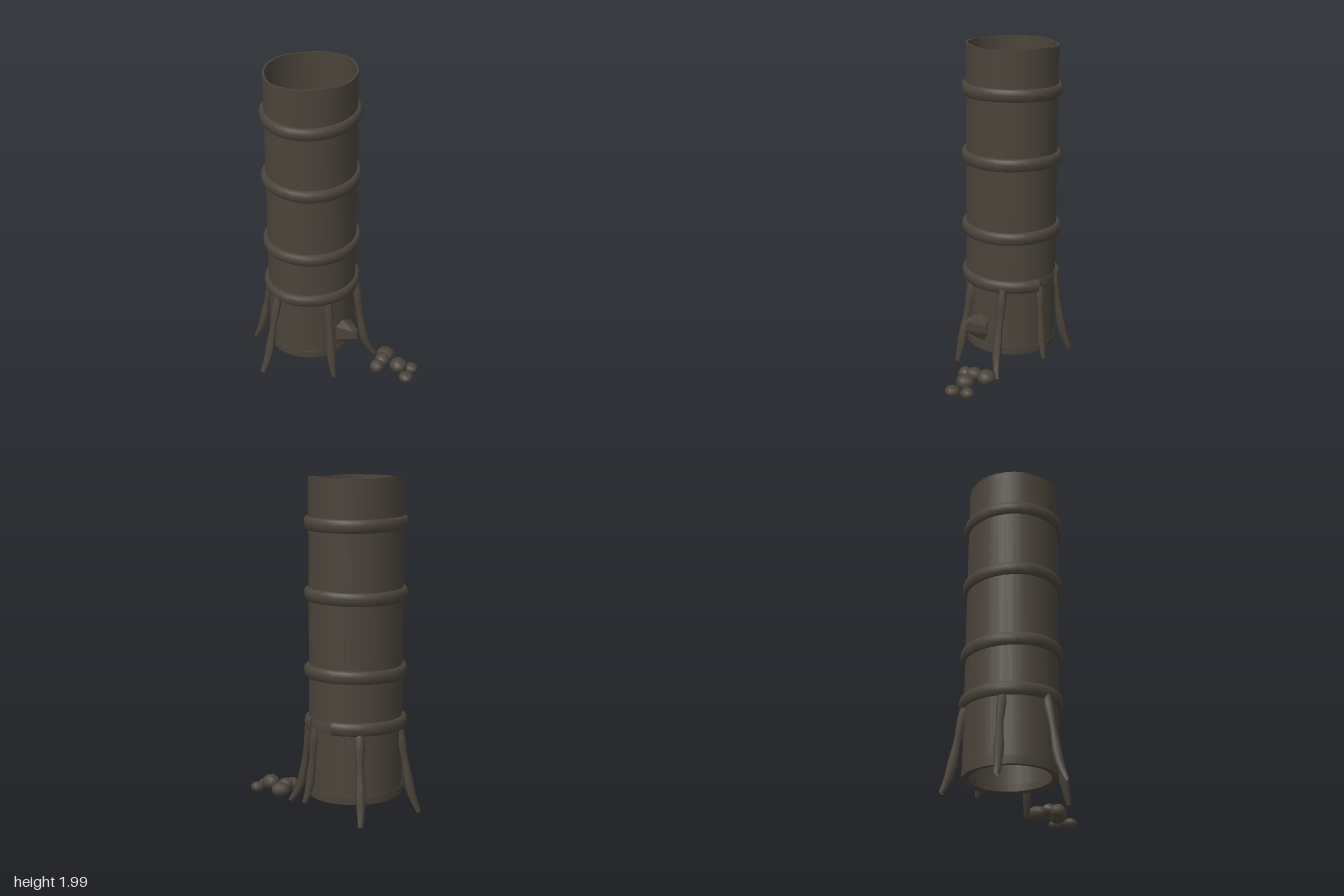
import * as THREE from 'three';
import { toCreasedNormals } from 'three/addons/utils/BufferGeometryUtils.js';
import { ConvexGeometry } from 'three/addons/geometries/ConvexGeometry.js';

const CX = 0.045, CZ = -0.195;

export function createModel() {
  const model = new THREE.Group();
  const bark = new THREE.MeshStandardMaterial({ color: 0x4a433a, side: THREE.DoubleSide });
  bark.name = 'dark brown';

  const add = (name, geometry, parent = model) => {
    const mesh = new THREE.Mesh(geometry, bark);
    mesh.name = name;
    parent.add(mesh);
    return mesh;
  };
  const lathe = (pts, start = 0, length = Math.PI * 2, segments = 32) =>
    new THREE.LatheGeometry(pts.map(p => new THREE.Vector2(...p)), segments, start, length);

  // Slightly oval chimney body, open at both ends
  const tower = new THREE.Group();
  tower.name = 'tower';
  tower.position.set(CX, 0, CZ);
  tower.scale.z = 0.94;
  model.add(tower);

  const wall = lathe([[0.272, 0.13], [0.284, 0.12], [0.284, 1.994], [0.272, 1.994], [0.272, 0.13]]);
  const wp = wall.attributes.position;
  for (let i = 0; i < wp.count; i++) {
    // Uneven top rim
    if (wp.getY(i) > 1.9) {
      const a = Math.atan2(wp.getZ(i), wp.getX(i));
      wp.setY(i, 1.993 + 0.005 * Math.sin(3 * a + 1) + 0.002 * Math.sin(7 * a));
    }
  }
  add('wall', toCreasedNormals(wall, 0.6), tower);

  // Lip around the lower opening
  const lip = [[0.245, 0.125], [0.245, 0.165], [0.27, 0.175], [0.287, 0.17], [0.287, 0.165], [0.284, 0.12], [0.245, 0.125]];
  add('bottomLip', toCreasedNormals(lathe(lip), 0.6), tower);

  // Rounded, slightly irregular hoops; the lowest one is broken on one side
  const section = [[0.275, -0.036], [0.297, -0.038], [0.308, -0.024], [0.313, 0.004], [0.308, 0.028], [0.296, 0.038], [0.275, 0.036]];
  const gapStart = Math.PI / 2 - 0.22, gapLength = 0.62;
  [1.73, 1.32, 0.87, 0.565].forEach((y, k) => {
    const broken = k === 3;
    const geo = broken
      ? lathe(section, gapStart + gapLength, Math.PI * 2 - gapLength, 26)
      : lathe(section, 0, Math.PI * 2, 28);
    const p = geo.attributes.position;
    for (let i = 0; i < p.count; i++) {
      const a = Math.atan2(p.getZ(i), p.getX(i));
      const s = 1 + 0.005 * Math.sin(5 * a + k * 2);
      p.setXYZ(i, p.getX(i) * s, p.getY(i) + 0.004 * Math.sin(2 * a + k), p.getZ(i) * s);
    }
    add('hoop' + (k + 1), toCreasedNormals(geo, 0.8), tower).position.y = y;
    if (broken) {
      // End faces and the thin band left in the break
      const shape = new THREE.Shape(section.map(q => new THREE.Vector2(...q)));
      [gapStart, gapStart + gapLength].forEach(a => {
        const end = add('hoopEnd', new THREE.ShapeGeometry(shape), tower);
        end.position.y = y;
        end.rotation.y = a - Math.PI / 2;
      });
      add('hoopBreak', lathe([[0.28, -0.034], [0.291, -0.03], [0.291, 0.032], [0.28, 0.036]],
        gapStart, gapLength, 4), tower).position.y = y;
    }
  });

  // Splayed root-like legs: path points and thickness
  const leg = (points, radius) => {
    const path = new THREE.CatmullRomCurve3(points.map(p => new THREE.Vector3(...p)));
    const rows = 9, sides = 7;
    const geo = new THREE.TubeGeometry(path, rows, radius, sides);
    const p = geo.attributes.position;
    for (let i = 0; i <= rows; i++) {
      const c = path.getPointAt(i / rows);
      const s = i === 0 ? 0.75 : i === rows ? 0.55 : 0.9 + 0.15 * Math.sin(i * 1.3);
      for (let j = 0; j <= sides; j++) {
        const n = i * (sides + 1) + j;
        const v = new THREE.Vector3().fromBufferAttribute(p, n).sub(c).multiplyScalar(s).add(c);
        p.setXYZ(n, v.x, Math.max(v.y, 0.005), v.z);
      }
    }
    geo.computeVertexNormals();
    add('leg', geo);
  };
  leg([[-0.245, 0.55, -0.195], [-0.285, 0.38, -0.195], [-0.34, 0.13, -0.195], [-0.392, 0.022, -0.195]], 0.027);
  leg([[-0.105, 0.55, -0.405], [-0.125, 0.35, -0.44], [-0.155, 0.12, -0.475], [-0.18, 0.02, -0.51]], 0.028);
  leg([[0.2, 0.55, -0.41], [0.22, 0.35, -0.44], [0.245, 0.12, -0.475], [0.272, 0.02, -0.505]], 0.029);
  leg([[0.325, 0.55, -0.16], [0.34, 0.38, -0.155], [0.362, 0.18, -0.145], [0.388, 0.1, -0.135]], 0.026);
  leg([[-0.045, 0.55, 0.045], [-0.06, 0.35, 0.08], [-0.08, 0.12, 0.12], [-0.085, 0.02, 0.145]], 0.028);
  leg([[0.205, 0.55, 0.04], [0.21, 0.35, 0.07], [0.225, 0.12, 0.115], [0.27, 0.02, 0.155]], 0.027);

  // Faceted stub jutting from the front
  const stub = [
    [0.0, 0.23, 0.075], [0.0, 0.33, 0.075], [0.05, 0.365, 0.08], [0.12, 0.33, 0.08],
    [0.13, 0.25, 0.095], [0.1, 0.2, 0.09], [0.03, 0.2, 0.09], [0.125, 0.3, 0.11],
    [0.03, 0.345, 0.2], [0.065, 0.345, 0.2], [0.04, 0.295, 0.222], [0.055, 0.29, 0.215],
  ];
  add('stub', toCreasedNormals(new ConvexGeometry(stub.map(p => new THREE.Vector3(...p))), 0.3));

  // Heap of rounded stones: centre, horizontal radius, vertical radius
  const stones = [
    [0.275, 0.065, 0.25, 0.06, 0.045], [0.21, 0.078, 0.285, 0.05, 0.04],
    [0.148, 0.062, 0.298, 0.047, 0.045], [0.245, 0.075, 0.393, 0.058, 0.048],
    [0.313, 0.043, 0.445, 0.043, 0.033], [0.225, 0.04, 0.48, 0.047, 0.032],
  ];
  stones.forEach(([x, y, z, r, h], i) => {
    const stone = add('stone' + (i + 1), new THREE.SphereGeometry(1, 9, 7));
    stone.position.set(x, y, z);
    stone.scale.set(r, h, r);
    stone.rotation.y = i * 1.1;
  });

  return model;
}
